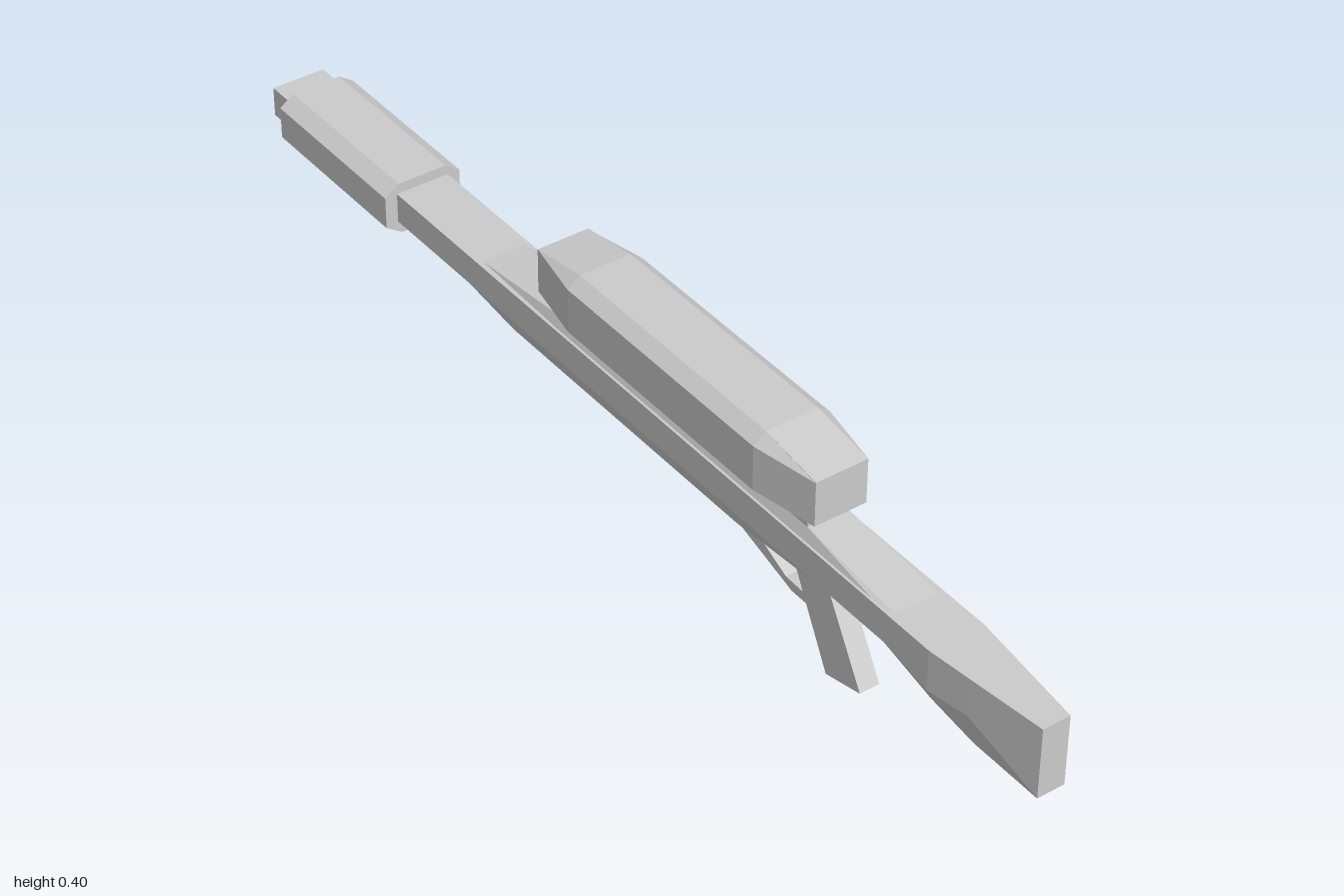
import * as THREE from 'three';

const material = new THREE.MeshStandardMaterial({ color: 0xcccccc, flatShading: true });

// Closed solid through mirrored cross-sections, ordered by rising z.
// Each section is [z, half outline from bottom to top as [x, y]].
function loft(sections) {
  const rings = sections.map(([z, half]) => [
    ...half.map(([x, y]) => [x, y, z]),
    ...half.slice().reverse().map(([x, y]) => [-x, y, z]),
  ]);
  const n = rings[0].length;
  const pos = [];
  const tri = (a, b, c) => pos.push(...a, ...b, ...c);
  for (let i = 0; i < rings.length - 1; i++) {
    for (let j = 0; j < n; j++) {
      const k = (j + 1) % n;
      const [r, s] = [rings[i], rings[i + 1]];
      tri(r[j], r[k], s[k]);
      tri(r[j], s[k], s[j]);
    }
  }
  const first = rings[0];
  const last = rings[rings.length - 1];
  for (let j = 1; j < n - 1; j++) {
    tri(last[0], last[j], last[j + 1]);
    tri(first[0], first[j + 1], first[j]);
  }
  const g = new THREE.BufferGeometry();
  g.setAttribute('position', new THREE.Float32BufferAttribute(pos, 3));
  g.computeVertexNormals();
  return g;
}

// Side profile given as [z, y], extruded across x.
function sideProfile(points, width) {
  const shape = new THREE.Shape(points.map(([z, y]) => new THREE.Vector2(-z, y)));
  const g = new THREE.ExtrudeGeometry(shape, { depth: width, bevelEnabled: false });
  return g.translate(0, 0, -width / 2).rotateY(Math.PI / 2);
}

function rectPath(Type, hw, y0, y1) {
  return new Type([[-hw, y0], [hw, y0], [hw, y1], [-hw, y1]].map(([x, y]) => new THREE.Vector2(x, y)));
}

export function createModel() {
  const model = new THREE.Group();
  const add = (name, geometry) => {
    const mesh = new THREE.Mesh(geometry, material);
    mesh.name = name;
    model.add(mesh);
  };

  // Long square body and the tapered stock
  const stock = (z, w, bw, bottom, side) => [z, [[bw, bottom], [w, side], [w, 0.255]]];
  add('bodyAndStock', loft([
    stock(-0.85, 0.05, 0.05, 0.2, 0.201),
    stock(0.68, 0.05, 0.05, 0.2, 0.201),
    stock(0.78, 0.05, 0.041, 0.16, 0.18),
    stock(0.86, 0.041, 0.025, 0.124, 0.185),
    stock(1, 0.025, 0.025, 0.124, 0.19),
  ]));

  // Hollow square muzzle
  const tip = rectPath(THREE.Shape, 0.05, 0.2, 0.255);
  tip.holes.push(rectPath(THREE.Path, 0.04, 0.21, 0.245));
  add('muzzle', new THREE.ExtrudeGeometry(tip, { depth: 0.15, bevelEnabled: false }).translate(0, 0, -1));

  // Bevelled sleeve around the barrel
  const sleeve = [[0.043, 0.176], [0.073, 0.196], [0.073, 0.255], [0.046, 0.274]];
  add('barrelSleeve', loft([[-0.94, sleeve], [-0.61, sleeve]]));

  // Sloped top rail
  const rail = (z, w, y) => [z, [[0.048, 0.25], [w, y]]];
  add('topRail', loft([
    rail(-0.37, 0.04, 0.255), rail(-0.15, 0.037, 0.274),
    rail(0.48, 0.037, 0.274), rail(0.69, 0.04, 0.255),
  ]));

  // Sloped underside
  const belly = (z, w, y) => [z, [[w, y], [0.042, 0.205]]];
  add('lowerBody', loft([
    belly(-0.52, 0.04, 0.2), belly(-0.3, 0.03, 0.157),
    belly(0.3, 0.03, 0.157), belly(0.68, 0.04, 0.2),
  ]));

  // Scope mount and housing with tapered ends
  add('scopeMount', new THREE.BoxGeometry(0.074, 0.035, 0.63).translate(0, 0.285, 0.165));
  const end = [[0.048, 0.3], [0.048, 0.301], [0.048, 0.381], [0.048, 0.382]];
  const middle = [[0.048, 0.283], [0.071, 0.301], [0.071, 0.382], [0.048, 0.4]];
  add('scopeHousing', loft([[-0.2, end], [-0.085, middle], [0.39, middle], [0.51, end]]));

  // Slanted grip and trigger guard
  add('grip', sideProfile([[0.595, 0.02], [0.513, 0], [0.405, 0.21], [0.487, 0.21]], 0.037));
  add('triggerGuard', sideProfile([
    [0.48, 0.098], [0.42, 0.098], [0.27, 0.145], [0.27, 0.165],
    [0.33, 0.152], [0.405, 0.116], [0.48, 0.114],
  ], 0.03));

  return model;
}
